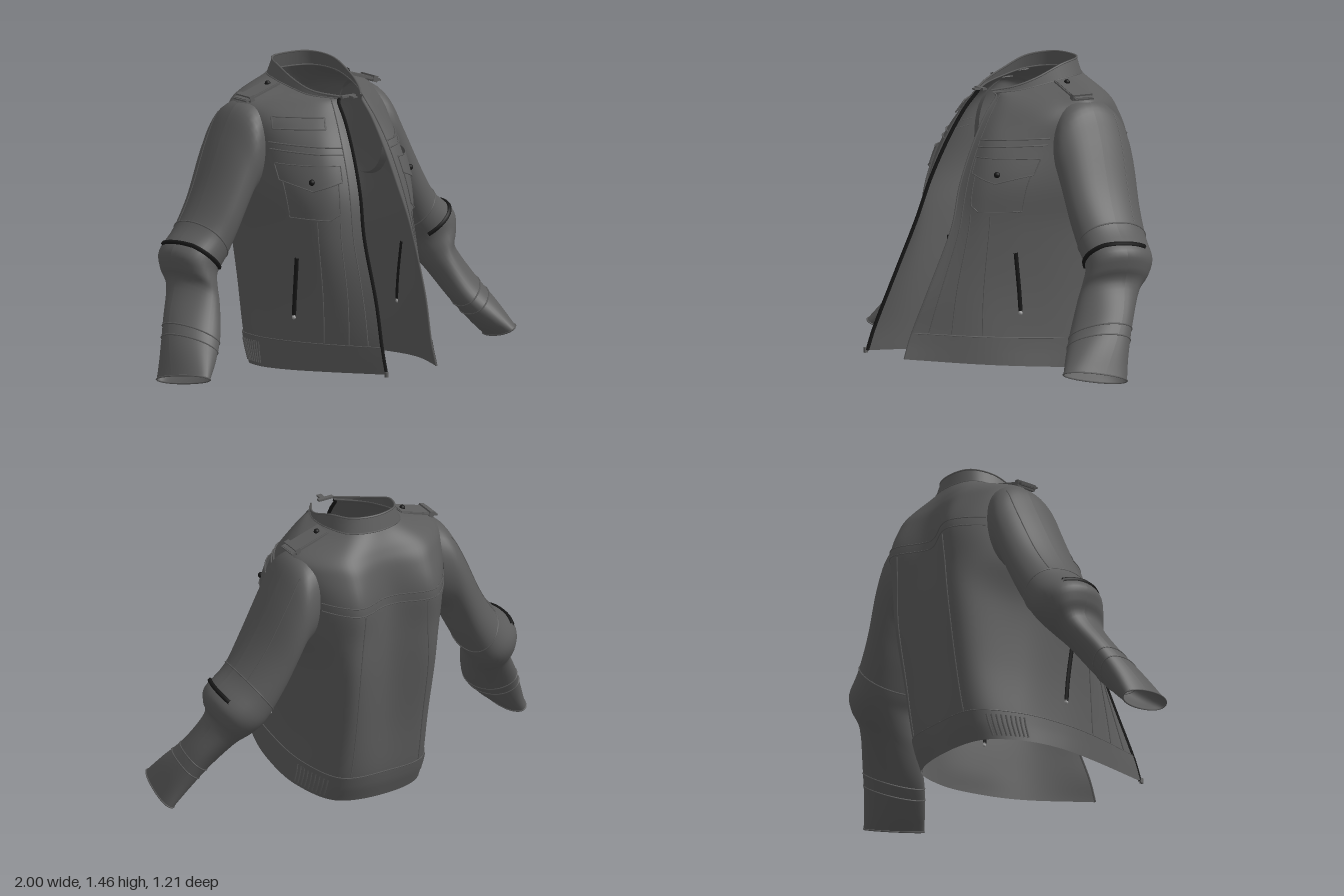
import * as THREE from 'three';

const V = (x, y, z) => new THREE.Vector3(x, y, z);
const make = (name, color) => {
  const m = new THREE.MeshStandardMaterial({ color, side: THREE.DoubleSide });
  m.name = name;
  return m;
};
const leather = make('grey leather', 0x5c5c5c);
const black = make('black zip', 0x171717);
const metal = make('pull metal', 0xa0a0a0);

// Turn a surface function f(u, w) into a mesh over the given range.
function sheet(name, f, u0, u1, w0, w1, nu, nw) {
  const pos = [], idx = [];
  for (let j = 0; j <= nw; j++) for (let i = 0; i <= nu; i++) {
    const u = u0 + (u1 - u0) * i / nu;
    const p = f(u, w0 + (w1 - w0) * j / nw, i / nu, j / nw);
    pos.push(p.x, p.y, p.z);
  }
  for (let j = 0; j < nw; j++) for (let i = 0; i < nu; i++) {
    const a = j * (nu + 1) + i, b = a + 1, c = a + nu + 1, d = c + 1;
    idx.push(a, c, b, b, c, d);
  }
  const g = new THREE.BufferGeometry();
  g.setAttribute('position', new THREE.Float32BufferAttribute(pos, 3));
  g.setIndex(idx);
  g.computeVertexNormals();
  const m = new THREE.Mesh(g, leather);
  m.name = name;
  return m;
}

// Smooth surface through rows of points, w counted in rows.
function loft(rows) {
  const curves = rows.map(r => new THREE.CatmullRomCurve3(r, false, 'catmullrom', 0.5));
  return (u, w) => {
    const t = Math.min(1, Math.max(0, u));
    const c = new THREE.CatmullRomCurve3(curves.map(k => k.getPoint(t)), false, 'catmullrom', 0.5);
    return c.getPoint(Math.min(1, Math.max(0, w / (rows.length - 1))));
  };
}

// Surface shifted outwards by d.
function raised(f, d) {
  return (u, w) => {
    const e = 0.004, p = f(u, w);
    const du = f(u + e, w).sub(f(u - e, w)), dw = f(u, w + e * 5).sub(f(u, w - e * 5));
    return p.add(dw.cross(du).normalize().multiplyScalar(d));
  };
}

// Tube laid over a surface along a list of [u, w] points.
function line(name, f, pts, r, mat = leather, n = 10) {
  const out = [];
  for (let k = 0; k < pts.length - 1; k++) for (let i = 0; i < n; i++) {
    const t = i / n, [a, b] = pts[k], [c, d] = pts[k + 1];
    out.push(f(a + (c - a) * t, b + (d - b) * t));
  }
  out.push(f(...pts[pts.length - 1]));
  const m = new THREE.Mesh(new THREE.TubeGeometry(new THREE.CatmullRomCurve3(out), out.length * 2, r, 5), mat);
  m.name = name;
  return m;
}

// Half section: height, slope, edge x right, edge x left, edge z, then x and z of five points to the back centre.
const SECTIONS = [
  [0.00, 1.0, -.18, .13, .585, .27, .25, .32, 0, .312, -.22, .22, -.41, 0, -.46],
  [0.14, 0.8, -.175, .13, .545, .265, .25, .31, 0, .307, -.25, .22, -.465, 0, -.5],
  [0.40, 0.3, -.15, .155, .465, .26, .24, .31, 0, .312, -.25, .22, -.515, 0, -.515],
  [0.70, 0, -.13, .165, .35, .265, .21, .325, .02, .335, -.26, .23, -.565, 0, -.535],
  [0.90, 0, -.105, .135, .285, .26, .19, .35, 0, .37, -.33, .225, -.583, 0, -.54],
  [1.08, 0, -.085, .115, .205, .24, .13, .355, -.08, .38, -.36, .22, -.598, 0, -.535],
  [1.22, 0, -.07, .1, .125, .2, .05, .35, -.13, .385, -.36, .22, -.545, 0, -.52],
  [1.30, 0, -.06, .09, .06, .16, 0, .3, -.17, .37, -.31, .22, -.485, 0, -.49],
];

function ring(right, left, half) {
  const mirrored = half.slice(0, 4).map(p => V(-p.x, p.y, p.z));
  return [right, ...mirrored, half[4], ...half.slice(0, 4).reverse(), left];
}

const neck = ring(V(-.05, 1.32, .05), V(.085, 1.32, .05),
  [V(.14, 1.33, -.05), V(.17, 1.35, -.15), V(.18, 1.375, -.28), V(.135, 1.385, -.4), V(0, 1.385, -.44)]);
const collarTop = ring(V(-.045, 1.33, .06), V(.075, 1.33, .055),
  [V(.13, 1.35, -.04), V(.16, 1.385, -.14), V(.162, 1.437, -.27), V(.115, 1.455, -.385), V(0, 1.457, -.42)]);

function torsoRows() {
  const rows = SECTIONS.map(([y, k, xr, xl, ze, ...h]) => {
    const at = (x, z) => V(x, y + k * .094 * (z + .465), z);
    const half = [0, 2, 4, 6, 8].map(i => at(h[i], h[i + 1]));
    return ring(at(xr, ze), at(xl, ze - .02), half);
  });
  return [...rows, neck];
}

// Sleeve stations: upper x y, lower x y, middle z, half depth, forward lean of the upper side, inward turn of the front.
const SLEEVE = [
  [.33, 1.31, .35, .86, -.295, .175, 0, 0], [.415, 1.265, .40, .83, -.295, .198, 0, 0],
  [.49, 1.13, .44, .76, -.295, .198, 0, 0], [.60, .90, .49, .66, -.285, .188, .01, 0],
  [.70, .745, .55, .55, -.28, .175, .02, .01], [.81, .645, .59, .49, -.27, .17, .02, .01],
  [.815, .565, .625, .43, -.24, .16, -.01, .01], [.80, .485, .66, .36, -.195, .135, -.05, .01],
  [.88, .34, .72, .23, -.115, .118, -.07, .01], [.945, .21, .81, .12, -.045, .134, -.055, .015],
  [.99, .095, .885, .055, .0, .15, -.025, .025],
];

function sleeveSurface(side) {
  const at = ([ux, uy, lx, ly, z, h, lean, turn], i, a) => {
    const c = Math.cos(a), s = Math.sin(a), b = c * (1 + .1 * s * s) / 2;
    return V(side * ((ux + lx) / 2 + b * (ux - lx) - turn * s),
      (uy + ly) / 2 + b * (uy - ly) + .0003 * i * i * s, z + h * s + lean * c);
  };
  return (u, w) => {
    const path = SLEEVE.map((r, i) => at(r, i, u * Math.PI * 2));
    return new THREE.CatmullRomCurve3(path, false, 'catmullrom', 0.5).getPoint(w / 10);
  };
}

function button(p, r, mat = black, name = 'button') {
  const m = new THREE.Mesh(new THREE.SphereGeometry(r, 12, 8), mat);
  m.name = name;
  m.position.copy(p);
  return m;
}

export function createModel() {
  const jacket = new THREE.Group();
  jacket.name = 'jacket';
  const body = loft(torsoRows());
  const over = raised(body, .006), skin = raised(body, .003);
  const collar = loft([neck, neck.map((p, i) => p.clone().lerp(collarTop[i], .5)), collarTop]);

  // Body shell, hem band and collar
  jacket.add(sheet('torso', body, 0, 1, 0, 8, 100, 56));
  jacket.add(sheet('hemBand', over, 0, 1, 0, 1, 100, 4));
  jacket.add(line('hemSeam', skin, [[0, 1.02], [.5, 1.02], [1, 1.02]], .003, leather, 30));
  jacket.add(sheet('collar', collar, 0, 1, 0, 2, 60, 6));
  jacket.add(line('collarRim', collar, [[0, 2], [1, 2]], .005, leather, 50));
  jacket.add(line('collarSeam', collar, [[0, 0], [1, 0]], .004, leather, 50));

  // Front zip, opposite edge and pulls
  jacket.add(line('frontZip', body, [[0, 0], [0, 8]], .009, black, 40));
  jacket.add(line('frontEdge', body, [[1, 0], [1, 8]], .005, leather, 40));
  [[-.01, 1.33, .065, .08, .01, .02], [0, 1.33, .09, .025, .008, .04], [-.185, .1, .59, .012, .025, .015]]
    .forEach(([x, y, z, a, b, c]) => {
      const pull = new THREE.Mesh(new THREE.BoxGeometry(a, b, c), leather);
      pull.name = 'zipPull';
      pull.position.set(x, y, z);
      jacket.add(pull);
    });

  // Details found on both halves
  for (const m of [u => u, u => 1 - u]) {
    const on = (f) => (u, w) => f(m(u), w);
    const pocket = on(raised(body, .008)), flap = on(raised(body, .015)), flat = on(skin);
    jacket.add(sheet('chestPocket', pocket, .055, .19, 3.4, 4.5, 12, 8));
    jacket.add(line('pocketSeam', pocket, [[.055, 4.5], [.055, 3.55], [.08, 3.4], [.19, 3.4], [.19, 4.5]], .003));
    const flapEdge = t => 4.32 - .22 * (1 - Math.abs(2 * t - 1));
    jacket.add(sheet('pocketFlap', (u, w, a, b) => flap(u, flapEdge(a) * (1 - b) + 4.72 * b), .045, .195, 0, 1, 12, 6));
    jacket.add(line('flapSeam', flap, [[.045, 4.72], [.045, 4.32], [.12, 4.1], [.195, 4.32], [.195, 4.72], [.045, 4.72]], .003));
    jacket.add(button(flap(.12, 4.32), .015));
    jacket.add(line('hipZip', flat, [[.185, 1.6], [.178, 2.6]], .011, black));
    jacket.add(button(flat(.1855, 1.55), .01, metal, 'hipZipPull'));
    jacket.add(line('frontSeam', flat, [[.06, 1.05], [.055, 3.35]], .003));
    jacket.add(line('sidePanelSeam', flat, [[.11, 1.05], [.115, 3.35]], .003));
    jacket.add(line('placketSeam', flat, [[.025, 1.05], [.03, 7.5]], .003));
    for (const w of [5.0, 5.2]) jacket.add(line('frontYokeSeam', flat, [[.03, w], [.2, w + .1]], .004));
    for (const w of [4.75, 5.0]) jacket.add(line('backYokeSeam', flat, [[.34, w + .15], [.5, w]], .003));
    jacket.add(line('backSeam', flat, [[.42, 1.05], [.425, 4.75]], .003));
    // Elastic ribs of the hem
    for (let i = 0; i < 9; i++) {
      const u = .29 + i * .01;
      jacket.add(line('hemRib', on(over), [[u, .12], [u, .9]], .005, leather, 3));
    }
  }
  const patch = raised(body, .008);
  jacket.add(sheet('chestPatch', patch, .07, .185, 5.75, 6.2, 10, 3));
  jacket.add(line('chestPatchSeam', patch, [[.07, 5.75], [.185, 5.75], [.185, 6.2], [.07, 6.2], [.07, 5.75]], .004));

  for (const side of [1, -1]) {
    // Sleeve with elbow zip and cuff seams
    const arm = sleeveSurface(side);
    const sleeve = new THREE.Group();
    sleeve.name = side > 0 ? 'leftSleeve' : 'rightSleeve';
    sleeve.add(sheet('sleeve', arm, 0, 1, 0, 10, 40, 50));
    sleeve.add(line('elbowZip', arm, [[.33, 4.75], [.1, 4.65], [-.11, 4.75]], .012, black));
    for (const w of [3.9, 8.2, 8.55, 10])
      sleeve.add(line('sleeveSeam', arm, [[0, w], [.5, w], [1, w]], .004, leather, 16));
    sleeve.add(line('sleeveLengthSeam', arm, [[-.1, 1], [-.1, 3.9]], .003));
    jacket.add(sleeve);

    // Shoulder strap with its loop and button
    const strap = new THREE.Group();
    strap.name = 'shoulderStrap';
    const band = new THREE.Mesh(new THREE.BoxGeometry(.2, .014, .09), leather);
    band.name = 'strapBand';
    const rim = new THREE.Mesh(new THREE.BoxGeometry(.21, .008, .1), leather);
    rim.name = 'strapRim';
    const loop = new THREE.Mesh(new THREE.BoxGeometry(.025, .03, .105), leather);
    loop.name = 'strapLoop';
    loop.position.set(side * .07, 0, 0);
    strap.add(band, rim, loop, button(V(-side * .07, .008, 0), .014));
    strap.position.set(side * .3, 1.337, -.262);
    strap.rotation.z = -side * .3;
    jacket.add(strap);
  }
  return jacket;
}
